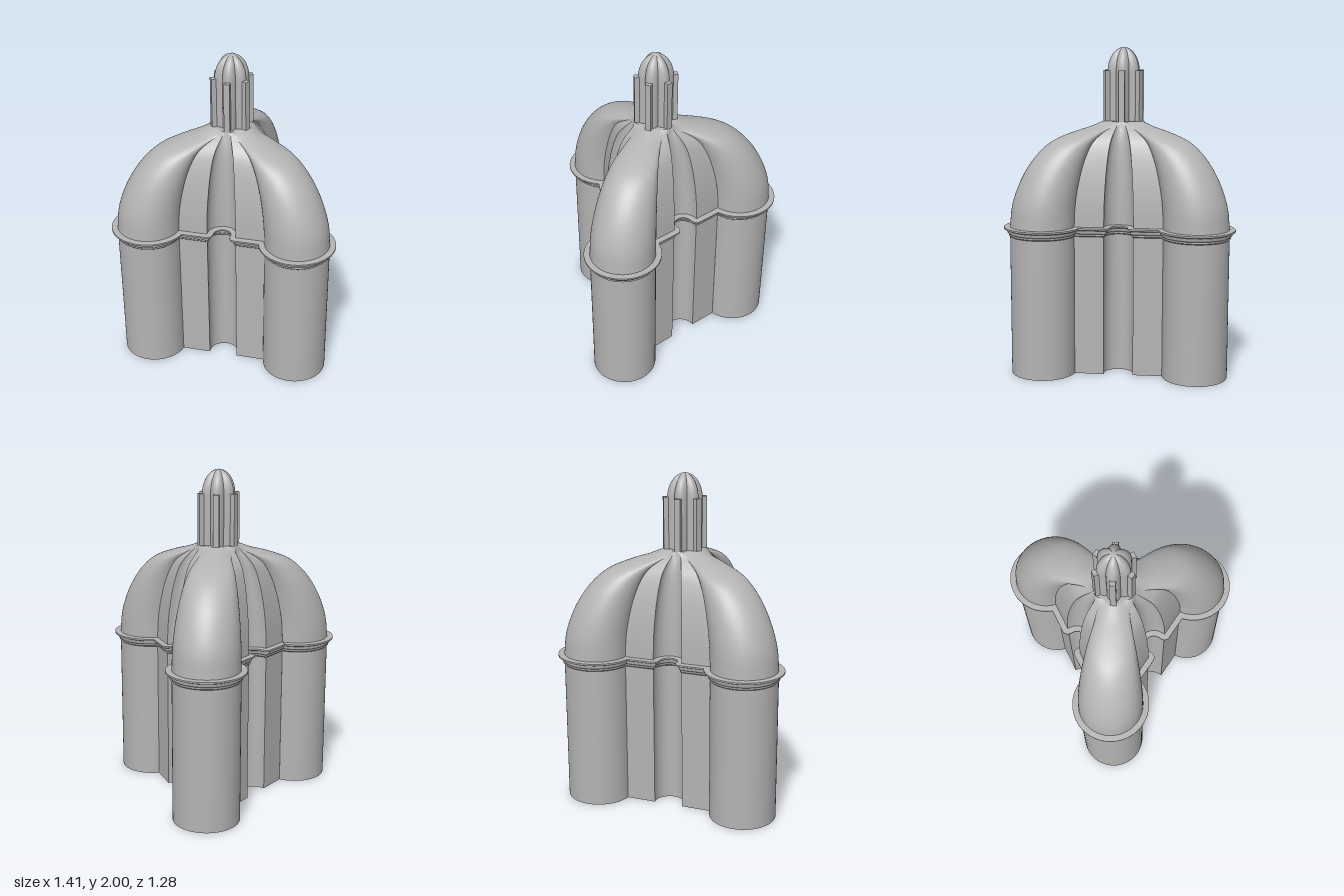
import * as THREE from 'three';

const AXIS_Z = -0.135;      // vertical axis of the dome
const LOBE = { t: 0.468, d: 0.27, r: 0.2 };
const FLAT_D = 0.3, NICHE_R = 0.09, NICHE_D = 0.28;
const RAD = Math.PI / 180;

const range = (n, f) => Array.from({ length: n + 1 }, (_, i) => f(i / n));
const lerp = THREE.MathUtils.lerp;

// Three-lobed plan offset outward by o, as smooth segments of [x, z] points
function plan(o) {
  const r = LOBE.r + o, d = FLAT_D + o, out = Math.max(o, 0);
  const h = NICHE_R - Math.min(o, 0);           // half width at the niche mouth
  const nr = NICHE_R - o, mouth = FLAT_D + Math.min(o, 0);
  const sq = Math.sqrt(r * r - (d - LOBE.d) ** 2), join = LOBE.t - sq;
  const a = Math.atan2(d - LOBE.d, -sq);
  const corner = (s, f) => [s * (h - out * Math.sin(f)), mouth + out * Math.cos(f)];
  const third = [
    range(4, f => [lerp(-join, -h, f), d]),
    range(6, f => { const p = corner(1, -f * Math.PI / 2); return [-h + out * Math.sin(f * Math.PI / 2), p[1]]; }),
    [[-nr, mouth], ...range(20, f => [-nr * Math.cos(f * Math.PI), NICHE_D - nr * Math.sin(f * Math.PI)]), [nr, mouth]],
    range(6, f => corner(1, (1 - f) * Math.PI / 2)),
    range(4, f => [lerp(h, join, f), d]),
    range(48, f => {
      const q = lerp(a, Math.PI / 3 - a, f);
      return [LOBE.t + r * Math.cos(q), LOBE.d + r * Math.sin(q)];
    }),
  ];
  return turnThirds(third);
}

// Small six-foil ring at the crown, point for point with the plan
function crown(o) {
  const spans = [[-15, -9], [-9, -9], [-9, 9], [9, 9], [9, 15], [15, 105]];
  const counts = [4, 6, 22, 6, 4, 48];
  return turnThirds(spans.map(([a, b], i) => range(counts[i], f => {
    const q = lerp(a, b, f) * RAD, r = 0.122 + 0.009 * Math.cos(6 * q) + o;
    return [r * Math.sin(q), r * Math.cos(q)];
  })));
}

// Repeats a third around the axis; gap-local (t, d) becomes (x, -z)
function turnThirds(third) {
  const all = [];
  for (let k = 0; k < 3; k++) {
    const c = Math.cos(k * 120 * RAD), s = Math.sin(k * 120 * RAD);
    for (const seg of third) all.push(seg.map(([t, d]) => [t * c + d * s, -(d * c - t * s)]));
  }
  return all;
}

// Surface through rows of [x, y, z] points
function loft(rows) {
  const n = rows[0].length, index = [];
  for (let j = 0; j < rows.length - 1; j++) {
    for (let i = 0; i < n - 1; i++) {
      const a = j * n + i, b = a + n;
      index.push(a, b, a + 1, b, b + 1, a + 1);
    }
  }
  const g = new THREE.BufferGeometry();
  g.setAttribute('position', new THREE.Float32BufferAttribute(rows.flat(2), 3));
  g.setIndex(index);
  g.computeVertexNormals();
  return g;
}

export function createModel() {
  const model = new THREE.Group();
  model.name = 'lobedDome';
  const stone = new THREE.MeshStandardMaterial({ color: 0xb4b4b4, side: THREE.DoubleSide });
  stone.name = 'grey stone';

  const body = new THREE.Group();
  body.position.z = AXIS_Z;
  model.add(body);
  const part = name => {
    const g = new THREE.Group();
    g.name = name;
    body.add(g);
    return g;
  };
  const add = (group, geometry, name) => {
    const m = new THREE.Mesh(geometry, stone);
    m.name = name;
    group.add(m);
    return m;
  };

  // Joins plan outlines given as { segs, y }, one mesh for each smooth segment
  const skin = (group, levels, name) => levels[0].segs.forEach((seg, i) => {
    if (levels.every(l => Math.hypot(l.segs[i][0][0] - l.segs[i].at(-1)[0], l.segs[i][0][1] - l.segs[i].at(-1)[1]) < 1e-6)) return;
    add(group, loft(levels.map(l => l.segs[i].map(([x, z]) => [x, l.y, z]))), name);
  });

  // Hollow lower walls
  const walls = part('walls');
  const outer = plan(0), inner = plan(-0.02);
  skin(walls, [{ segs: outer, y: 0 }, { segs: outer, y: 0.922 }], 'outerWall');
  skin(walls, [{ segs: inner, y: 0.922 }, { segs: inner, y: 0 }], 'innerWall');
  skin(walls, [{ segs: inner, y: 0 }, { segs: outer, y: 0 }], 'wallFoot');

  // Moulded cornice: [offset, height]
  const cornice = part('cornice');
  const moulding = [[0, 0.865], [0.008, 0.872], [0.008, 0.882], [0.016, 0.89], [0.019, 0.905],
    [0.036, 0.912], [0.036, 0.922], [0, 0.924]];
  for (let i = 0; i < moulding.length - 1; i++) {
    skin(cornice, [moulding[i], moulding[i + 1]].map(([o, y]) => ({ segs: plan(o), y })), 'moulding');
  }

  // Dome: the plan melts into the crown ring along a curved profile
  const profile = new THREE.CatmullRomCurve3([[1, 0.922], [0.975, 1.05], [0.9, 1.18], [0.785, 1.3],
    [0.65, 1.39], [0.53, 1.44], [0.32, 1.488], [0.15, 1.517], [0, 1.55]]
    .map(([w, y]) => new THREE.Vector3(w, y, 0))).getPoints(32);
  const domeLevels = (base, top, drop) => profile.map(p => ({
    y: p.y - drop * (1 - p.x),
    segs: base.map((seg, i) => seg.map(([x, z], j) => [
      lerp(top[i][j][0], x, p.x), lerp(top[i][j][1], z, p.x)])),
  }));
  const dome = part('dome');
  skin(dome, domeLevels(outer, crown(0), 0), 'outerDome');
  skin(dome, domeLevels(inner, crown(-0.015), 0.02).reverse(), 'innerDome');
  skin(dome, [{ segs: crown(0), y: 1.55 }, { segs: crown(-0.121), y: 1.55 }], 'crownFloor');

  // Lantern: fluted drum and cap, built petal by petal
  const lantern = part('lantern');
  const capRows = [[1, 1.55], [1, 1.85], ...range(16, f => [
    Math.cos(f * Math.PI / 2), 1.85 + 0.15 * Math.sin(f * Math.PI / 2)])];
  for (let k = 0; k < 6; k++) {
    const petal = ([s, y]) => range(12, f => {
      const q = (f - 0.5) * 60 * RAD, r = s * (0.08 + 0.026 * Math.cos(3 * q));
      const w = q + k * 60 * RAD;
      return [r * Math.sin(w), y, -r * Math.cos(w)];
    });
    add(lantern, loft(capRows.slice(0, 2).map(petal)), 'drumPetal');
    add(lantern, loft(capRows.slice(2).map(petal)), 'capPetal');

    // Buttress fin on the ridge of each petal
    const fin = add(lantern, new THREE.BoxGeometry(0.036, 0.31, 0.034), 'fin');
    const w = k * 60 * RAD;
    fin.position.set(0.113 * Math.sin(w), 1.705, 0.113 * Math.cos(w));
    fin.rotation.y = w;
  }
  return model;
}
